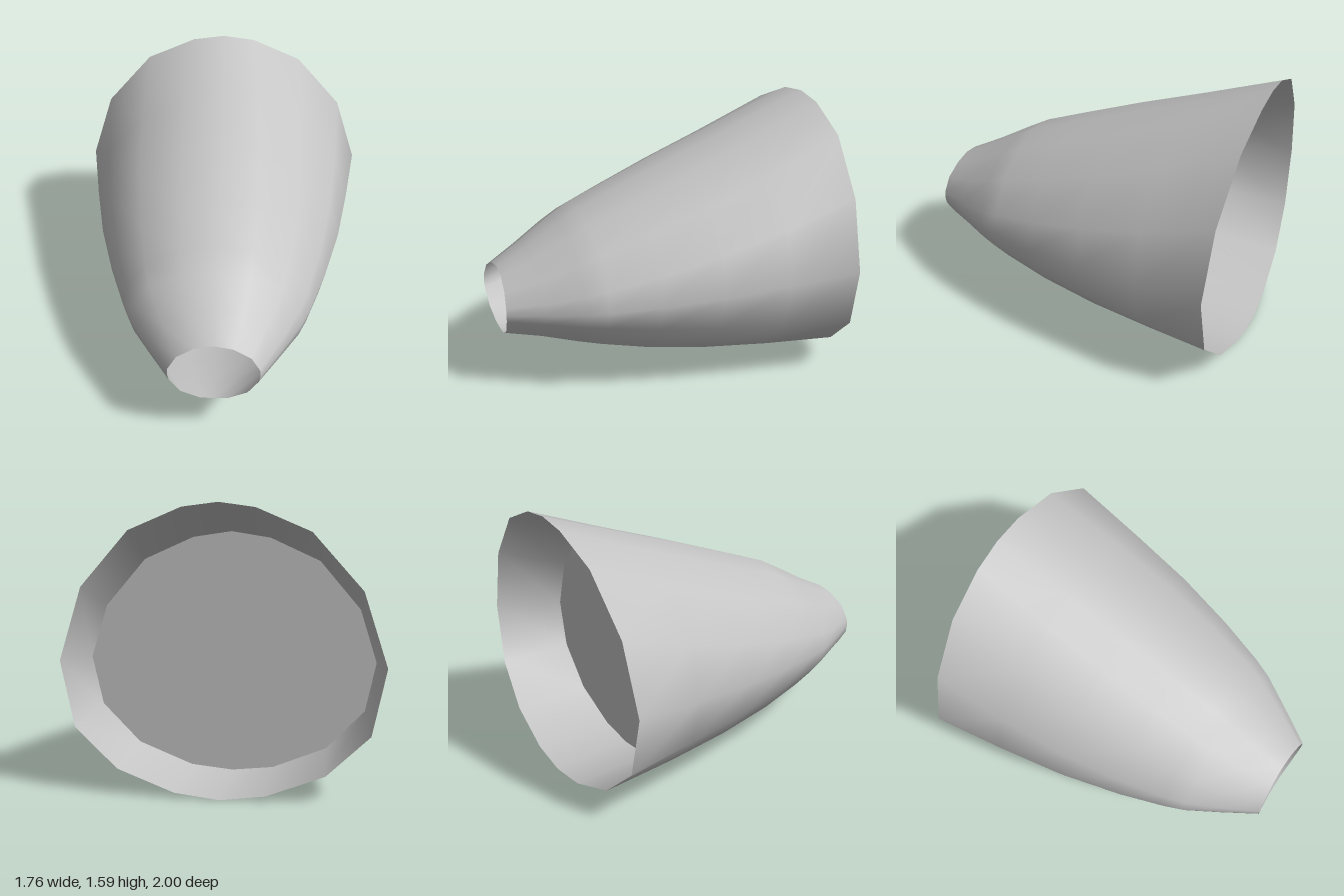
import * as THREE from 'three';

// Half outlines from top to bottom: x as a share of the half width,
// y as a share of the height above (+) or below (-) the widest point.
const FRONT = [[0, 1], [0.42, 0.9], [0.8, 0.63], [0.99, 0.22], [1, 0], [0.97, -0.2], [0.73, -0.68], [0.31, -0.97], [0, -1]];
const BACK = [[0, 1], [0.22, 0.97], [0.55, 0.825], [0.855, 0.47], [1, 0], [0.91, -0.5], [0.64, -0.8], [0.28, -0.96], [0, -1]];

// Sections from front to back: z, top, bottom, half width, forward sweep of the sides
const SECTIONS = [
  [0.98, 0.735, 0.33, 0.26, 0.02],
  [0.8, 0.83, 0.295, 0.385, 0],
  [0.6, 0.95, 0.24, 0.505, 0],
  [0.48, 1.02, 0.205, 0.555, 0],
  [0.2, 1.13, 0.135, 0.65, 0],
  [-0.15, 1.268, 0.08, 0.745, 0],
  [-0.53, 1.41, 0.038, 0.815, 0],
  [-1, 1.59, 0.005, 0.88, 0.06],
];
const BULKHEAD = 6;

// Full mirrored ring of points for one section
function ring([z, top, bottom, half, sweep]) {
  const t = (0.98 - z) / 1.98;
  const mid = THREE.MathUtils.lerp(0.53, 0.73, t);
  const side = FRONT.map(([fx, fy], i) => {
    const u = THREE.MathUtils.lerp(fx, BACK[i][0], t);
    const v = THREE.MathUtils.lerp(fy, BACK[i][1], t);
    const y = mid + v * (v > 0 ? top - mid : mid - bottom);
    return new THREE.Vector3(u * half, y, z + sweep * u * u);
  });
  const mirrored = side.slice(1, -1).reverse().map((p) => new THREE.Vector3(-p.x, p.y, p.z));
  return [...side, ...mirrored];
}

// Smooth open skin through all rings
function loft(rings) {
  const n = rings[0].length;
  const index = [];
  for (let i = 0; i < rings.length - 1; i++) {
    for (let j = 0; j < n; j++) {
      const a = i * n + j, b = i * n + ((j + 1) % n);
      index.push(a, b, a + n, b, b + n, a + n);
    }
  }
  const geometry = new THREE.BufferGeometry().setFromPoints(rings.flat());
  geometry.setIndex(index);
  geometry.computeVertexNormals();
  return geometry;
}

export function createModel() {
  const group = new THREE.Group();
  group.name = 'taperedCowling';
  const grey = new THREE.MeshStandardMaterial({ color: 0xc4c4c4, side: THREE.DoubleSide });
  grey.name = 'light grey';

  const rings = SECTIONS.map(ring);

  // Tapered shell, open at both ends
  const shell = new THREE.Mesh(loft(rings), grey);
  shell.name = 'shell';
  group.add(shell);

  // Flat wall set inside the wide end
  const outline = rings[BULKHEAD].map((p) => new THREE.Vector2(p.x, p.y));
  const wall = new THREE.Mesh(new THREE.ShapeGeometry(new THREE.Shape(outline)), grey);
  wall.name = 'bulkhead';
  wall.position.z = SECTIONS[BULKHEAD][0];
  group.add(wall);

  return group;
}
